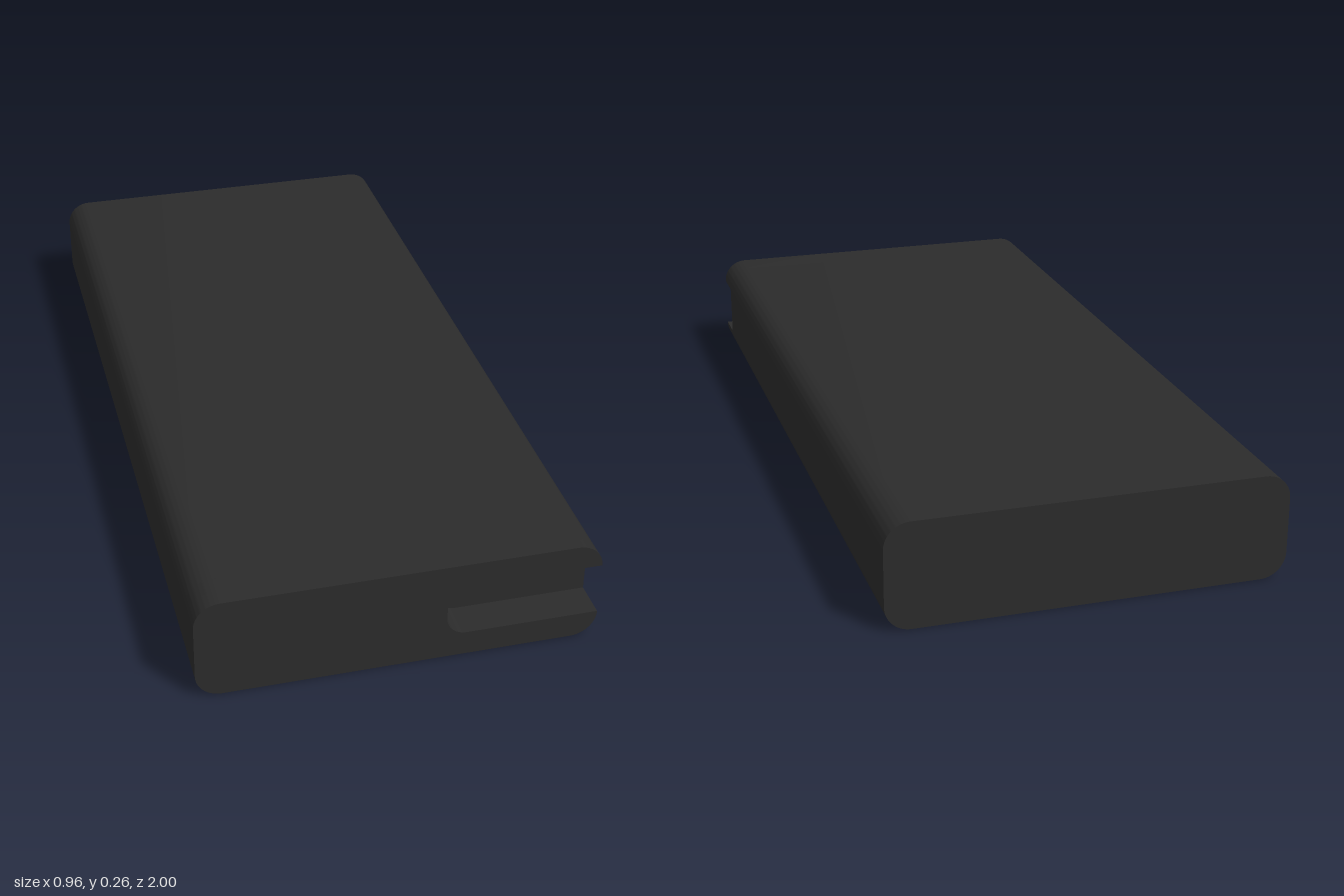
import * as THREE from 'three';
import { toCreasedNormals } from 'three/addons/utils/BufferGeometryUtils.js';

const W = 0.48, H = 0.26, R = 0.062;                 // casing half width, height, corner radius
const FRONT = 1, BACK = -1, FLOOR = 0.91;            // z of the front, back and recess floor
const SLOT = { x: 0.11, y0: 0.063, y1: 0.199, r: 0.05 };
const SEG = 12, Q = Math.PI / 2;

// Rounded casing outline, optionally notched by the recess on its left (+x) side
function casingShape(notched) {
  const s = new THREE.Shape();
  s.absarc(W - R, R, R, -Q, 0);
  if (notched) {
    const { x, y0, y1, r } = SLOT;
    s.lineTo(W, y0);
    s.absarc(x + r, y0 + r, r, -Q, -2 * Q, true);
    s.absarc(x + r, y1 - r, r, 2 * Q, Q, true);
    s.lineTo(W, y1);
  }
  s.absarc(W - R, H - R, R, 0, Q);
  s.absarc(-W + R, H - R, R, Q, 2 * Q);
  s.absarc(-W + R, R, R, 2 * Q, 3 * Q);
  s.closePath();
  return s;
}

// Outline of the recess floor, open-ended at the casing side
function slotShape() {
  const { x, y0, y1, r } = SLOT;
  const s = new THREE.Shape();
  s.moveTo(W, y0);
  s.lineTo(W, y1);
  s.absarc(x + r, y1 - r, r, Q, 2 * Q);
  s.absarc(x + r, y0 + r, r, 2 * Q, 3 * Q);
  s.closePath();
  return s;
}

// Side walls only, swept along z around a counter-clockwise outline
function wall(shape, z0, z1) {
  const pts = shape.getPoints(SEG), pos = [];
  pts.forEach((p, i) => {
    const q = pts[(i + 1) % pts.length];
    if (p.distanceTo(q) < 1e-6) return;
    pos.push(p.x, p.y, z0, q.x, q.y, z0, q.x, q.y, z1);
    pos.push(p.x, p.y, z0, q.x, q.y, z1, p.x, p.y, z1);
  });
  const g = new THREE.BufferGeometry();
  g.setAttribute('position', new THREE.Float32BufferAttribute(pos, 3));
  return toCreasedNormals(g, Math.PI / 6);
}

const cap = (shape, z) => new THREE.ShapeGeometry(shape, SEG).translate(0, 0, z);

export function createModel() {
  const group = new THREE.Group();
  group.name = 'case';
  const material = new THREE.MeshStandardMaterial({ color: 0x2b2b2b });
  const add = (name, geometry) => {
    const mesh = new THREE.Mesh(geometry, material);
    mesh.name = name;
    group.add(mesh);
  };

  const full = casingShape(false), notched = casingShape(true);

  // Long casing sleeve and its back end
  add('casingSides', wall(full, BACK, FLOOR));
  add('backFace', new THREE.ShapeGeometry(full, SEG).rotateY(Math.PI).translate(0, 0, BACK));

  // Front rim with the recess cut into it
  add('frontRim', wall(notched, FLOOR, FRONT));
  add('frontFace', cap(notched, FRONT));
  add('recessFloor', cap(slotShape(), FLOOR));

  return group;
}
